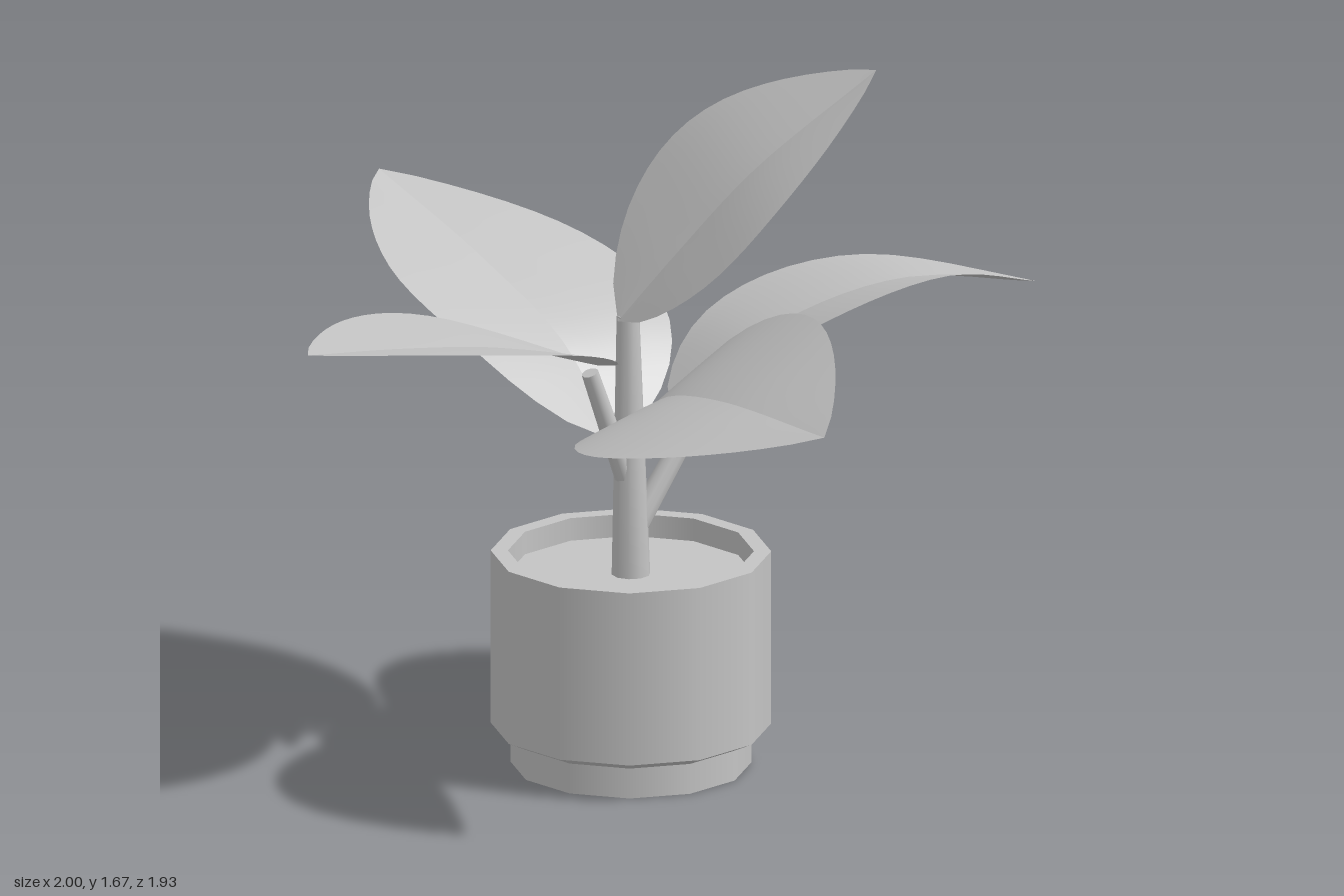
import * as THREE from 'three';
import { mergeGeometries } from 'three/addons/utils/BufferGeometryUtils.js';

const V = (p) => new THREE.Vector3(...p);

// Turned shape with a hard edge at every profile point
function turned(profile, sides) {
  const bands = [];
  for (let i = 0; i < profile.length - 1; i++) {
    const pair = [profile[i], profile[i + 1]].map(([r, y]) => new THREE.Vector2(r, y));
    bands.push(new THREE.LatheGeometry(pair, sides));
  }
  return mergeGeometries(bands);
}

// Tapered stalk between two points
function stalk(from, to, r0, r1) {
  const a = V(from), b = V(to), d = b.clone().sub(a);
  const g = new THREE.CylinderGeometry(r1, r0, d.length(), 10);
  g.applyQuaternion(new THREE.Quaternion().setFromUnitVectors(new THREE.Vector3(0, 1, 0), d.normalize()));
  const m = a.add(b).multiplyScalar(0.5);
  return g.translate(m.x, m.y, m.z);
}

// Leaf along a midrib; 'side' is the half-width vector. Two halves meet in a crease.
function leaf(rib, side, cup) {
  const curve = new THREE.CatmullRomCurve3(rib.map(V));
  const W = V(side), rows = 18, cols = 5;
  const halves = [-1, 1].map((sign) => {
    const pos = [], idx = [];
    for (let i = 0; i <= rows; i++) {
      const t = i / rows, c = curve.getPointAt(t);
      const n = new THREE.Vector3().crossVectors(W, curve.getTangentAt(t)).normalize();
      if (n.y < 0) n.negate();
      const w = Math.pow(Math.max(0, Math.sin(Math.PI * Math.pow(t, 0.82))), 0.85);
      for (let j = 0; j <= cols; j++) {
        const s = j / cols;
        const p = c.clone().addScaledVector(W, sign * s * w).addScaledVector(n, cup * w * Math.pow(s, 0.9));
        pos.push(p.x, p.y, p.z);
        if (i < rows && j < cols) {
          const a = i * (cols + 1) + j, b = a + cols + 1;
          idx.push(a, b, a + 1, a + 1, b, b + 1);
        }
      }
    }
    // Keep the upper side as the front face
    const up = new THREE.Vector3().crossVectors(curve.getTangentAt(0.5), W).y * sign > 0;
    if (!up) idx.reverse();
    const g = new THREE.BufferGeometry();
    g.setAttribute('position', new THREE.Float32BufferAttribute(pos, 3));
    g.setIndex(idx);
    g.computeVertexNormals();
    return g;
  });
  return mergeGeometries(halves);
}

export function createModel() {
  const group = new THREE.Group();
  const grey = new THREE.MeshStandardMaterial({ color: 0xc4c4c4, side: THREE.DoubleSide });
  grey.name = 'plain grey';
  const add = (name, geometry) => {
    const mesh = new THREE.Mesh(geometry, grey);
    mesh.name = name;
    group.add(mesh);
    return mesh;
  };

  // Pot with a stepped foot, and the soil inside
  const pot = add('pot', turned([
    [0, 0], [0.28, 0], [0.28, 0.073], [0.326, 0.095],
    [0.326, 0.515], [0.286, 0.515], [0.286, 0.44],
  ], 12));
  const soil = add('soil', turned([[0.288, 0.46], [0, 0.46]], 12));
  for (const m of [pot, soil]) m.position.set(-0.025, 0, -0.03);

  // Stem and its two branches
  add('stem', stalk([-0.025, 0.45, -0.03], [-0.03, 1.09, -0.035], 0.046, 0.027));
  add('leftBranch', stalk([-0.005, 0.58, -0.035], [0.187, 0.86, -0.04], 0.03, 0.022));
  add('rightBranch', stalk([-0.03, 0.67, -0.03], [-0.14, 0.97, -0.02], 0.026, 0.02));

  // Leaves: midrib points, half-width vector, cup depth
  const leaves = {
    rightLeaf: [[[-0.11, 0.98, -0.03], [-0.4, 1.09, 0.05], [-0.7, 1.155, 0.115], [-1, 1.2, 0.17]], [0.06, 0.022, 0.3], 0.03],
    leftLeaf: [[[0.1, 0.83, -0.06], [0.33, 1.0, -0.02], [0.65, 1.09, 0.03], [1, 1.04, 0.07]], [-0.03, 0.055, 0.3], 0.035],
    frontLeaf: [[[-0.02, 0.86, 0.02], [-0.06, 0.96, 0.2], [-0.08, 1.035, 0.5], [-0.07, 1.075, 0.965]], [0.28, 0.13, 0], 0.035],
    backLeaf: [[[-0.03, 0.765, -0.1], [-0.06, 0.955, -0.28], [-0.11, 1.09, -0.58], [-0.17, 1.21, -0.965]], [0.32, -0.03, -0.03], 0.035],
    topLeaf: [[[-0.06, 1.08, -0.03], [0.07, 1.25, 0.03], [0.23, 1.44, 0.1], [0.5, 1.67, 0.2]], [-0.06, -0.05, 0.28], 0.045],
  };
  for (const [name, [rib, side, cup]] of Object.entries(leaves)) add(name, leaf(rib, side, cup));

  return group;
}
